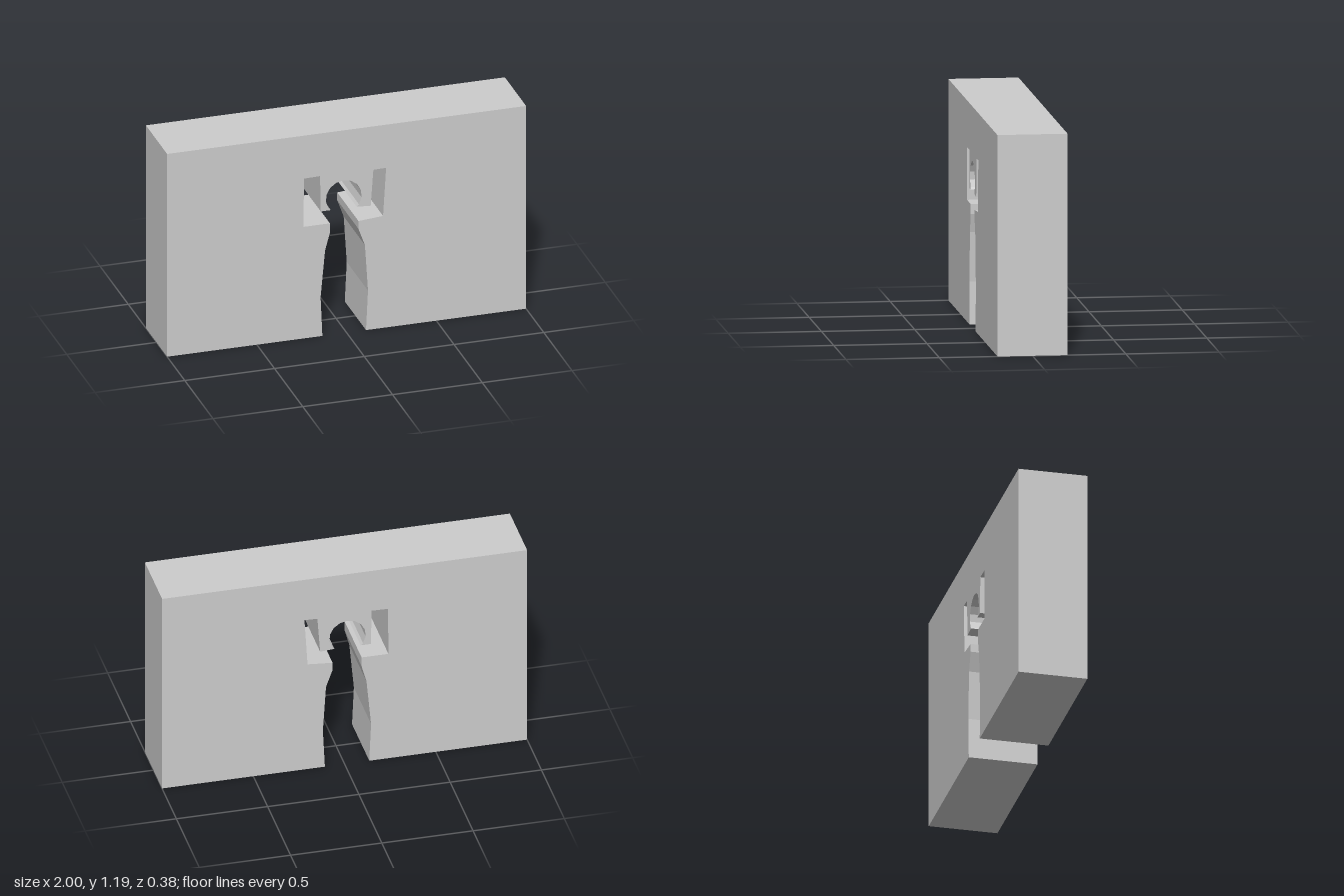
import * as THREE from 'three';

const HEIGHT = 1.19, DEPTH = 0.376;

// Head opening: a faceted arc from the left neck corner over the top to the right one
function headArc(cx, cy, r, start, end, steps) {
  const pts = [];
  for (let i = 0; i <= steps; i++) {
    const a = THREE.MathUtils.degToRad(start + (end - start) * i / steps);
    pts.push([cx + r * Math.cos(a), cy + r * Math.sin(a)]);
  }
  return pts;
}

export function createModel() {
  const group = new THREE.Group();
  group.name = 'wallWithFigureOpening';

  // Left edge of the opening, from the ground up: skirt, waist, raised arm, neck
  const leftSide = [
    [-0.135, 0], [-0.145, 0.23], [-0.12, 0.5], [-0.093, 0.6], [-0.093, 0.655],
    [-0.24, 0.655], [-0.238, 0.938], [-0.148, 0.94], [-0.144, 0.732], [-0.088, 0.732],
  ];
  const head = headArc(-0.016, 0.797, 0.1, 212, -32, 10);
  // Right edge, from the neck down
  const rightSide = [
    [0.056, 0.732], [0.134, 0.726], [0.149, 0.935], [0.22, 0.937], [0.203, 0.657],
    [0.066, 0.646], [0.066, 0.6], [0.102, 0.5], [0.119, 0.23], [0.108, 0],
  ];

  // Wall outline, notched by the figure-shaped doorway
  const outline = [
    [-1, 0], ...leftSide, ...head, ...rightSide, [1, 0], [1, HEIGHT], [-1, HEIGHT],
  ].map(([x, y]) => new THREE.Vector2(x, y));

  const geometry = new THREE.ExtrudeGeometry(new THREE.Shape(outline), {
    depth: DEPTH, bevelEnabled: false, steps: 1,
  });
  geometry.translate(0, 0, -DEPTH / 2);

  const wall = new THREE.Mesh(
    geometry,
    new THREE.MeshStandardMaterial({ color: 0xcccccc, flatShading: true }),
  );
  wall.name = 'wall';
  group.add(wall);
  return group;
}
